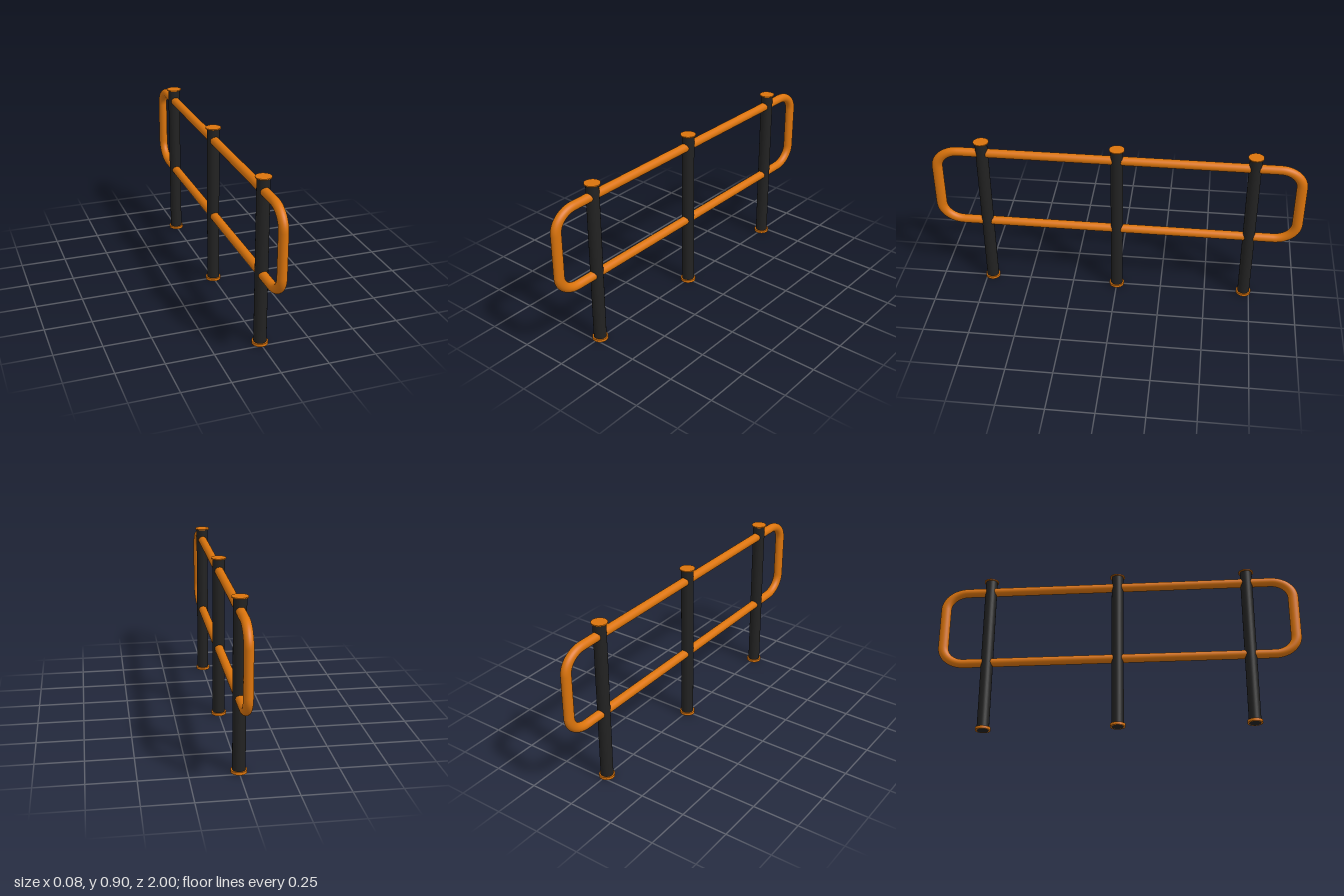
import * as THREE from 'three';

export function createModel() {
  const model = new THREE.Group();
  const orange = new THREE.MeshStandardMaterial({ color: 0xdb740c });
  orange.name = 'orange paint';
  const black = new THREE.MeshStandardMaterial({ color: 0x222222 });
  black.name = 'black paint';

  const add = (parent, name, geometry, material, y = 0) => {
    const mesh = new THREE.Mesh(geometry, material);
    mesh.name = name;
    mesh.position.y = y;
    parent.add(mesh);
  };

  // Posts, each with a base ring and a thin cap
  const postHeight = 0.895;
  const postGeometry = new THREE.CylinderGeometry(0.033, 0.033, postHeight, 32);
  const capGeometry = new THREE.CylinderGeometry(0.041, 0.041, 0.006, 32);
  const ringShape = new THREE.Shape().absarc(0, 0, 0.041, 0, Math.PI * 2);
  ringShape.holes.push(new THREE.Path().absarc(0, 0, 0.0325, 0, Math.PI * 2, true));
  const ringGeometry = new THREE.ExtrudeGeometry(ringShape, { depth: 0.015, bevelEnabled: false, curveSegments: 32 });
  ringGeometry.rotateX(-Math.PI / 2);
  [['front', 0.72], ['middle', 0], ['back', -0.72]].forEach(([name, z]) => {
    const post = new THREE.Group();
    post.name = `${name}Post`;
    post.position.z = z;
    add(post, 'postTube', postGeometry, black, postHeight / 2);
    add(post, 'postCap', capGeometry, orange, 0.897);
    add(post, 'baseRing', ringGeometry, orange);
    model.add(post);
  });

  // Rail loop: a rounded rectangle in the yz plane, stretched along z
  const stretch = 1.2, r = 0.1, k = r * 0.4477;
  const Z = 0.971 / stretch, low = 0.394, high = 0.831;
  const p = (z, y) => new THREE.Vector3(0, y, z);
  const path = new THREE.CurvePath();
  const line = (a, b) => path.add(new THREE.LineCurve3(a, b));
  const bend = (a, b, c, d) => path.add(new THREE.CubicBezierCurve3(a, b, c, d));
  line(p(-Z + r, low), p(Z - r, low));
  bend(p(Z - r, low), p(Z - k, low), p(Z, low + k), p(Z, low + r));
  line(p(Z, low + r), p(Z, high - r));
  bend(p(Z, high - r), p(Z, high - k), p(Z - k, high), p(Z - r, high));
  line(p(Z - r, high), p(-Z + r, high));
  bend(p(-Z + r, high), p(-Z + k, high), p(-Z, high - k), p(-Z, high - r));
  line(p(-Z, high - r), p(-Z, low + r));
  bend(p(-Z, low + r), p(-Z, low + k), p(-Z + k, low), p(-Z + r, low));
  const railGeometry = new THREE.TubeGeometry(path, 320, 0.024, 24, true);
  railGeometry.scale(1, 1, stretch);
  add(model, 'railLoop', railGeometry, orange);

  return model;
}
